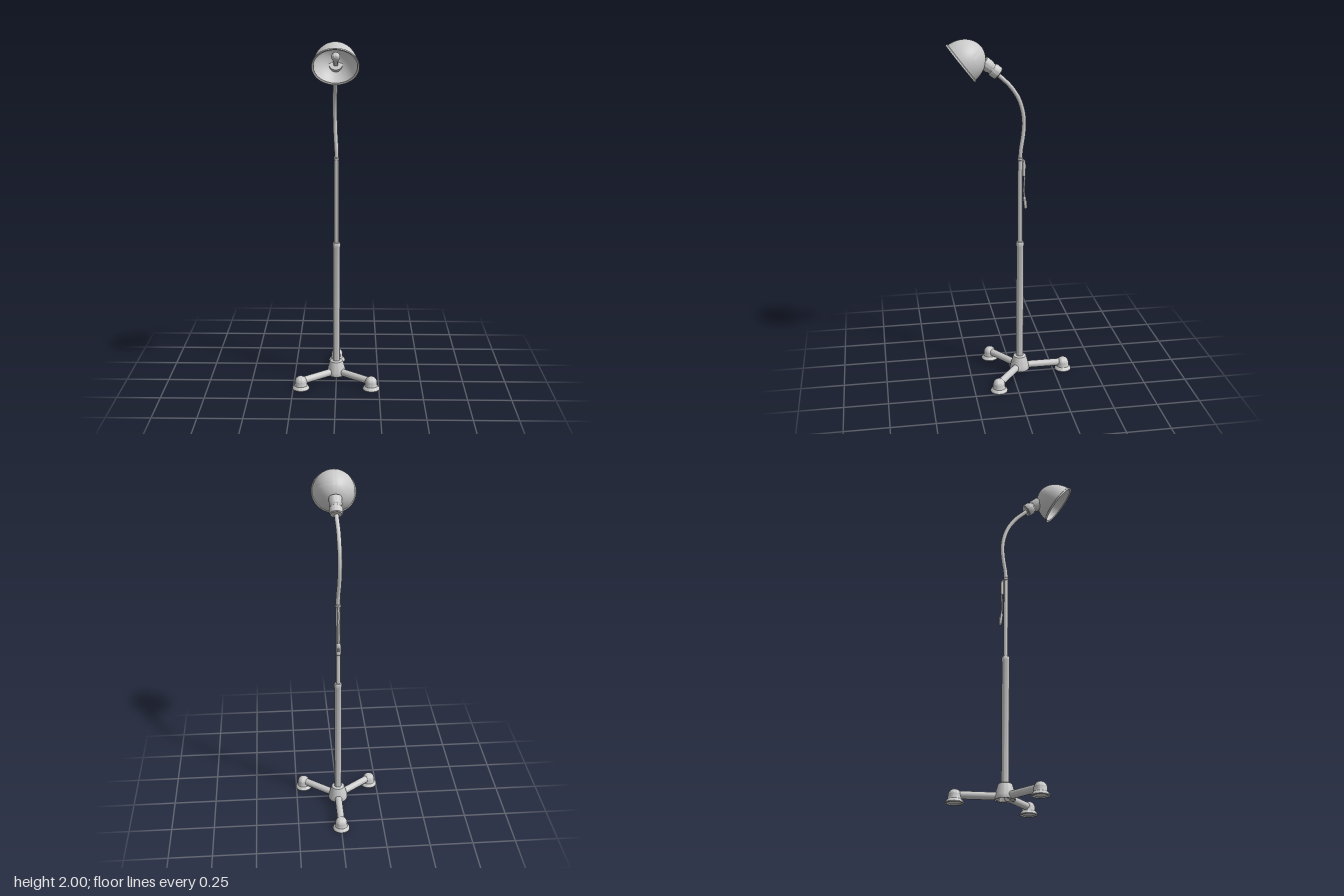
import * as THREE from 'three';
import { toCreasedNormals } from 'three/addons/utils/BufferGeometryUtils.js';

const material = new THREE.MeshStandardMaterial({ color: 0xcccccc, side: THREE.DoubleSide });
const V = (x, y, z) => new THREE.Vector3(x, y, z);
const UP = V(0, 1, 0);
const POLE_Z = -0.045;

function part(parent, name, geometry) {
  const mesh = new THREE.Mesh(geometry, material);
  mesh.name = name;
  parent.add(mesh);
  return mesh;
}

// Surface of revolution from [radius, height] pairs, listed bottom to top
function turned(parent, name, pairs, segments = 40) {
  const points = pairs.map(([r, y]) => new THREE.Vector2(r, y));
  return part(parent, name, toCreasedNormals(new THREE.LatheGeometry(points, segments), 0.6));
}

function tube(parent, name, points, radius, segments = 48) {
  const curve = new THREE.CatmullRomCurve3(points);
  return part(parent, name, new THREE.TubeGeometry(curve, segments, radius, 16));
}

// Quarter ellipse from the equator (a = 0) to the apex
function arc(r, h, y0 = 0, steps = 16) {
  return Array.from({ length: steps + 1 }, (_, i) => {
    const a = (i / steps) * Math.PI / 2;
    return [i === steps ? 0 : r * Math.cos(a), y0 + h * Math.sin(a)];
  });
}

function buildBase(root) {
  const base = new THREE.Group();
  base.name = 'base';
  root.add(base);

  // Hollow tapered hub
  const hub = turned(base, 'hub', [
    [0.022, 0.1], [0.048, 0.028], [0.056, 0.026], [0.058, 0.032], [0.055, 0.05],
    [0.041, 0.103], [0.038, 0.111], [0.032, 0.115], [0.02, 0.115],
  ]);
  hub.position.z = POLE_Z;

  // Three legs, each ending in a domed foot
  for (const [x, z] of [[0, -0.31], [0.205, 0.11], [-0.205, 0.11]]) {
    const start = V(0, 0.046, POLE_Z);
    const end = V(x, 0.046, z);
    const dir = end.clone().sub(start);
    const length = dir.length() - 0.03;
    dir.normalize();
    const leg = part(base, 'leg', new THREE.CylinderGeometry(0.021, 0.021, length, 28));
    leg.position.copy(start).addScaledVector(dir, 0.03 + length / 2);
    leg.quaternion.setFromUnitVectors(UP, dir);

    const foot = turned(base, 'foot', [
      [0, 0.006], [0.038, 0.006], [0.041, 0], [0.049, 0], [0.05, 0.004],
      [0.046, 0.012], [0.041, 0.018], [0.037, 0.021], [0.035, 0.027],
      ...arc(0.035, 0.035, 0.042, 10),
    ]);
    foot.position.set(x, 0, z);
  }
}

function buildStand(root) {
  const stand = new THREE.Group();
  stand.name = 'stand';
  stand.position.z = POLE_Z;
  root.add(stand);
  turned(stand, 'lowerPole', [
    [0, 0.06], [0.021, 0.06], [0.021, 0.812], [0.0225, 0.816], [0.0225, 0.834],
    [0.02, 0.841], [0.013, 0.843],
  ], 32);
  turned(stand, 'upperPole', [
    [0.0135, 0.82], [0.0135, 1.325], [0.0155, 1.327], [0.0155, 1.338], [0.012, 1.343], [0, 1.343],
  ], 28);

  // Flexible neck sweeping back, then forward to the lamp
  tube(root, 'gooseneck', [
    V(0, 1.32, -0.045), V(0, 1.38, -0.048), V(-0.005, 1.46, -0.061), V(-0.008, 1.54, -0.067),
    V(-0.009, 1.61, -0.058), V(-0.008, 1.68, -0.033), V(-0.006, 1.745, 0.012),
    V(-0.002, 1.79, 0.058), V(0, 1.815, 0.085),
  ], 0.0125, 64);
}

// Cord with a small hand switch hanging behind the upper pole
function buildCord(root) {
  const cord = new THREE.Group();
  cord.name = 'cordAndSwitch';
  root.add(cord);
  tube(cord, 'cord', [
    V(0, 1.318, -0.05), V(0, 1.326, -0.063), V(0, 1.31, -0.07),
    V(0, 1.22, -0.069), V(0, 1.14, -0.067), V(0, 1.1, -0.071),
  ], 0.0055);
  const sleeve = part(cord, 'cordSleeve', new THREE.CapsuleGeometry(0.008, 0.075, 6, 16));
  sleeve.position.set(0, 1.275, -0.067);
  const handle = part(cord, 'switchBody', new THREE.CapsuleGeometry(0.014, 0.05, 8, 20));
  handle.scale.set(1, 1, 0.6);
  handle.position.set(0, 1.075, -0.073);
  handle.rotation.x = 0.12;
  const button = part(cord, 'switchButton', new THREE.CapsuleGeometry(0.005, 0.016, 4, 12));
  button.position.set(0, 1.075, -0.081);
}

function buildHead(root) {
  const head = new THREE.Group();
  head.name = 'lampHead';
  root.add(head);

  // Double-walled dome with a rolled lip, opening forward and down
  const shade = turned(head, 'shade', [
    ...arc(0.114, 0.138, 0.004, 24).reverse(),
    [0.12, 0], [0.124, -0.001], [0.1255, 0.003], [0.124, 0.009], [0.119, 0.012],
    ...arc(0.119, 0.145, 0, 24).slice(2),
  ], 64);
  shade.position.set(0, 1.871, 0.28);
  shade.quaternion.setFromUnitVectors(UP, V(0, 0.61, -0.79).normalize());

  // Socket and bulb enter through the back wall, tilted upward
  const holder = new THREE.Group();
  holder.name = 'holder';
  holder.position.set(0, 1.812, 0.074);
  holder.quaternion.setFromUnitVectors(UP, V(0, 0.62, 0.78).normalize());
  head.add(holder);
  turned(holder, 'socket', [
    [0, 0], [0.031, 0], [0.036, 0.004], [0.0375, 0.009], [0.0375, 0.036], [0.035, 0.042],
    [0.031, 0.046], [0.031, 0.054], [0.034, 0.058], [0.036, 0.063], [0.036, 0.105], [0, 0.105],
  ]);
  turned(holder, 'bulb', [
    [0.013, 0.1], [0.013, 0.135], [0.016, 0.145], [0.021, 0.16], ...arc(0.023, 0.023, 0.175, 10),
  ], 28);
}

export function createModel() {
  const root = new THREE.Group();
  root.name = 'floorLamp';
  buildBase(root);
  buildStand(root);
  buildCord(root);
  buildHead(root);
  return root;
}
